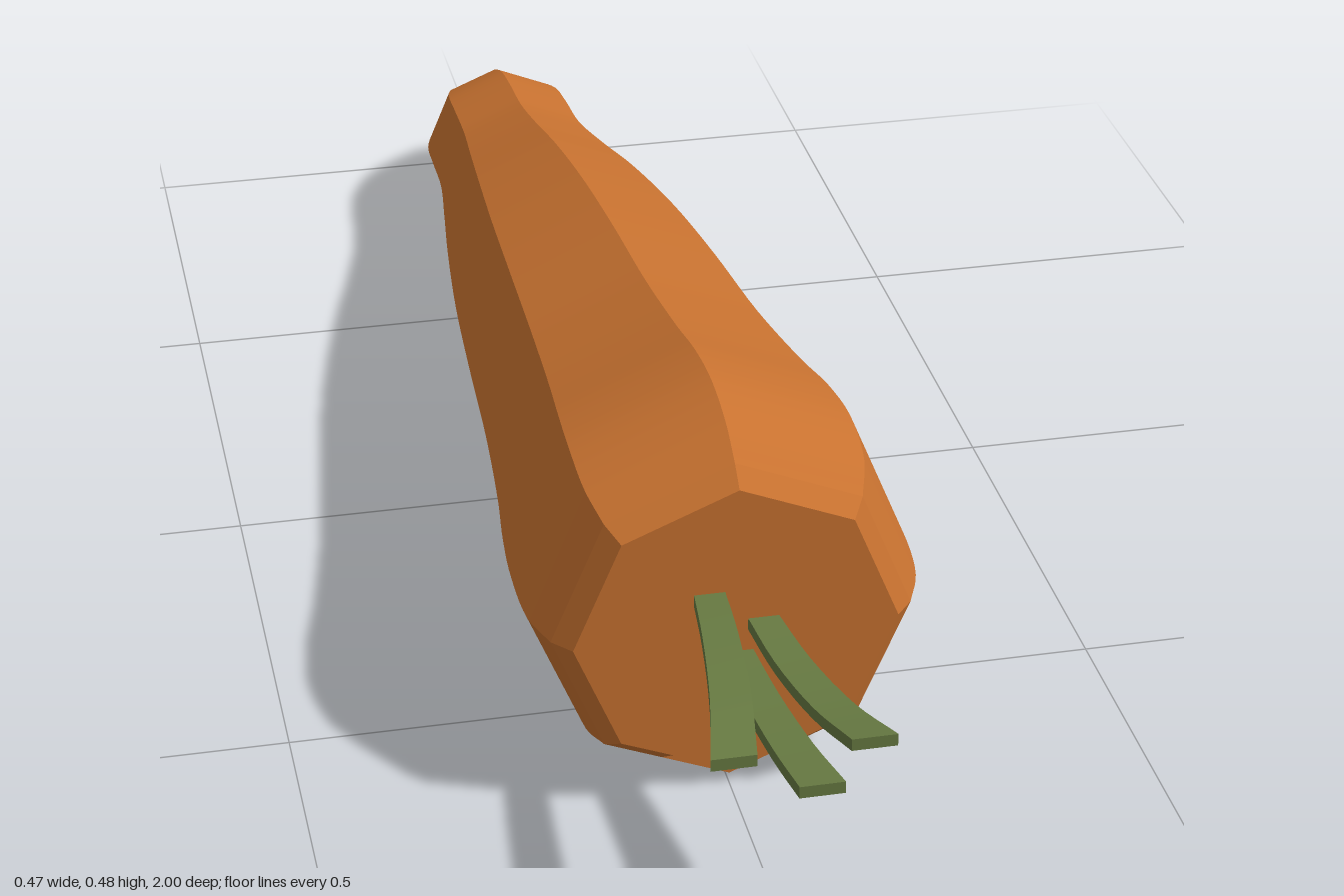
import * as THREE from 'three';
import { mergeGeometries } from 'three/addons/utils/BufferGeometryUtils.js';

const v2 = (x, y) => new THREE.Vector2(x, y);

// Skin over cross-sections running front to back; creased between sides, smooth along the length
function loft(rings) {
  const n = rings[0].length;
  const strips = [];
  for (let j = 0; j < n; j++) {
    const pos = [], index = [];
    rings.forEach((ring, i) => {
      const a = ring[j], b = ring[(j + 1) % n];
      pos.push(a.x, a.y, a.z, b.x, b.y, b.z);
      if (i < rings.length - 1) {
        const k = i * 2;
        index.push(k, k + 2, k + 1, k + 1, k + 2, k + 3);
      }
    });
    const g = new THREE.BufferGeometry();
    g.setAttribute('position', new THREE.Float32BufferAttribute(pos, 3));
    g.setIndex(index);
    g.computeVertexNormals();
    strips.push(g);
  }
  return mergeGeometries(strips);
}

// Eight-sided outline with a corner at the top and bottom
function octagon(top, bottom) {
  const r = (top - bottom) / 2, c = (top + bottom) / 2;
  return Array.from({ length: 8 }, (_, i) =>
    v2(r * Math.cos(i * Math.PI / 4), c + r * Math.sin(i * Math.PI / 4)));
}

const atZ = (pts, z) => pts.map(p => new THREE.Vector3(p.x, p.y, z));

export function createModel() {
  const group = new THREE.Group();
  const orange = new THREE.MeshStandardMaterial({ name: 'carrot orange', color: 0xc87230 });
  const green = new THREE.MeshStandardMaterial({ name: 'stem green', color: 0x677a42 });
  const add = (name, geometry, material, parent = group) => {
    const mesh = new THREE.Mesh(geometry, material);
    mesh.name = name;
    parent.add(mesh);
    return mesh;
  };
  const face = (name, pts, z) => {
    add(name, new THREE.ShapeGeometry(new THREE.Shape(pts)), orange).position.z = z;
  };

  // Root: [z, top, bottom] of each section
  const FRONT = 0.71, STEP = 0.685;
  const profile = new THREE.CatmullRomCurve3([
    [STEP, 0.442, 0.015], [0.64, 0.467, 0.003], [0.565, 0.482, 0.007], [0.48, 0.475, 0.011],
    [0.38, 0.453, 0.013], [0.2, 0.42, 0.013], [0, 0.394, 0.012], [-0.2, 0.362, 0.01],
    [-0.4, 0.319, 0.01], [-0.55, 0.279, 0.009], [-0.67, 0.251, 0.01], [-0.76, 0.241, 0.005],
    [-0.83, 0.229, 0.001], [-0.9, 0.2, 0.013], [-0.95, 0.167, 0.03], [-1, 0.121, 0.055]
  ].map(p => new THREE.Vector3(...p)));
  add('root', loft(profile.getPoints(75).map(p => atZ(octagon(p.y, p.z), p.x))), orange);

  // Blunt tip
  const tip = new THREE.ShapeGeometry(new THREE.Shape(octagon(0.121, 0.055))).rotateY(Math.PI);
  add('tip', tip, orange).position.z = -1;

  // Front collar, with a shallow notch cut in its lower edge
  const notch = [v2(-0.07, 0.078), v2(0, 0.107), v2(0.07, 0.078)];
  const notched = (top, bottom, x, y) => {
    const o = octagon(top, bottom);
    return [...o.slice(0, 6), v2(-x, y), ...notch, v2(x, y), o[7]];
  };
  const crown = notched(0.421, 0.037, 0.074, 0.068);
  add('collar', loft([atZ(crown, FRONT), atZ(notched(0.442, 0.015, 0.082, 0.049), STEP)]), orange);
  face('crown', crown, FRONT);
  face('notchFace', [...notch, v2(0.082, 0.049), v2(0, 0.015), v2(-0.082, 0.049)], STEP);

  // Stems: flat curved strips, widening outwards; [x, y, z] from outer end to root
  const stems = new THREE.Group();
  stems.name = 'stems';
  group.add(stems);
  const paths = [
    [[-0.072, 0.26, 1], [-0.055, 0.276, 0.91], [-0.041, 0.282, 0.8], [-0.032, 0.279, 0.7]],
    [[0.085, 0.265, 1], [0.063, 0.247, 0.91], [0.043, 0.238, 0.8], [0.03, 0.24, 0.7]],
    [[0.028, 0.21, 1], [0.017, 0.2, 0.91], [0.007, 0.195, 0.8], [0.001, 0.197, 0.7]]
  ];
  for (const path of paths) {
    const pts = new THREE.CatmullRomCurve3(path.map(p => new THREE.Vector3(...p))).getPoints(12);
    const section = (p, i) => {
      const w = 0.026 - 0.008 * i / 12, h = 0.0075;
      return [v2(p.x + w, p.y - h), v2(p.x + w, p.y + h), v2(p.x - w, p.y + h), v2(p.x - w, p.y - h)];
    };
    add('stem', loft(pts.map((p, i) => atZ(section(p, i), p.z))), green, stems);
    const end = new THREE.ShapeGeometry(new THREE.Shape(section(pts[0], 0)));
    add('stemEnd', end, green, stems).position.z = 1;
  }
  return group;
}
